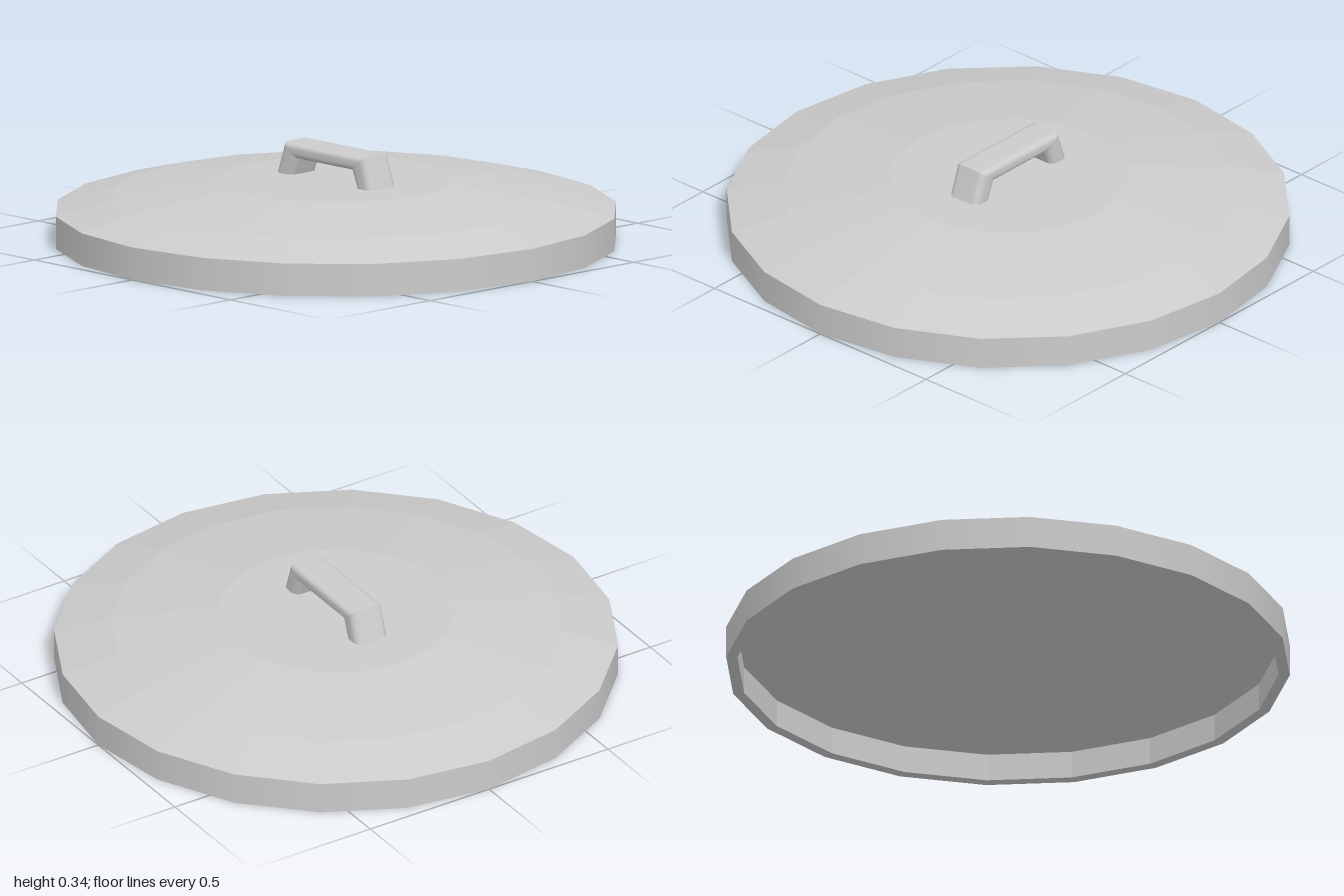
import * as THREE from 'three';

const SIDES = 20;

function lathe(name, points, flatShading) {
  const profile = points.map(([r, y]) => new THREE.Vector2(r, y));
  const mesh = new THREE.Mesh(
    new THREE.LatheGeometry(profile, SIDES),
    new THREE.MeshStandardMaterial({ color: 0xcccccc, flatShading })
  );
  mesh.name = name;
  return mesh;
}

// Rounded rectangle across the bar: x is width, t runs from inner (0) to outer (1) edge
function barSection(halfWidth, rx, rt, steps) {
  const corners = [[1, 0, -90], [1, 1, 0], [-1, 1, 90], [-1, 0, 180]];
  const section = [];
  for (const [sx, t, start] of corners) {
    for (let s = 0; s <= steps; s++) {
      const a = THREE.MathUtils.degToRad(start + (90 * s) / steps);
      section.push([
        sx * (halfWidth - rx) + rx * Math.cos(a),
        (t ? 1 - rt : rt) + rt * Math.sin(a),
      ]);
    }
  }
  return section;
}

// Bar lofted between mitred stations, smooth around and sharp at the bends
function handleGeometry() {
  const stations = [
    { inner: [0.167, 0.215], outer: [0.248, 0.215] },
    { inner: [0.138, 0.285], outer: [0.205, 0.34] },
    { inner: [-0.138, 0.285], outer: [-0.205, 0.34] },
    { inner: [-0.167, 0.215], outer: [-0.248, 0.215] },
  ];
  const section = barSection(0.066, 0.025, 0.35, 4);
  const n = section.length;
  const positions = [];
  const index = [];
  for (let i = 0; i < stations.length - 1; i++) {
    const base = positions.length / 3;
    for (const { inner, outer } of [stations[i], stations[i + 1]]) {
      for (const [x, t] of section) {
        positions.push(
          x,
          THREE.MathUtils.lerp(inner[1], outer[1], t),
          THREE.MathUtils.lerp(inner[0], outer[0], t)
        );
      }
    }
    for (let k = 0; k < n; k++) {
      const a = base + k;
      const b = base + ((k + 1) % n);
      index.push(a, a + n, b, b, a + n, b + n);
    }
  }
  const geometry = new THREE.BufferGeometry();
  geometry.setAttribute('position', new THREE.Float32BufferAttribute(positions, 3));
  geometry.setIndex(index);
  geometry.computeVertexNormals();
  return geometry;
}

export function createModel() {
  const model = new THREE.Group();
  model.name = 'lid';

  // Stepped dome, smooth rim wall, and recessed underside
  model.add(lathe('lidTop', [[1, 0.117], [0.8, 0.17], [0.42, 0.225], [0, 0.225]], true));
  model.add(lathe('rimWall', [[1, 0], [1, 0.117]], false));
  model.add(lathe('underside', [[0, 0.1], [0.96, 0.1], [0.96, 0], [1, 0]], true));

  // Arched handle with splayed legs
  const handle = new THREE.Mesh(
    handleGeometry(),
    new THREE.MeshStandardMaterial({ color: 0xcccccc })
  );
  handle.name = 'handle';
  model.add(handle);

  return model;
}
